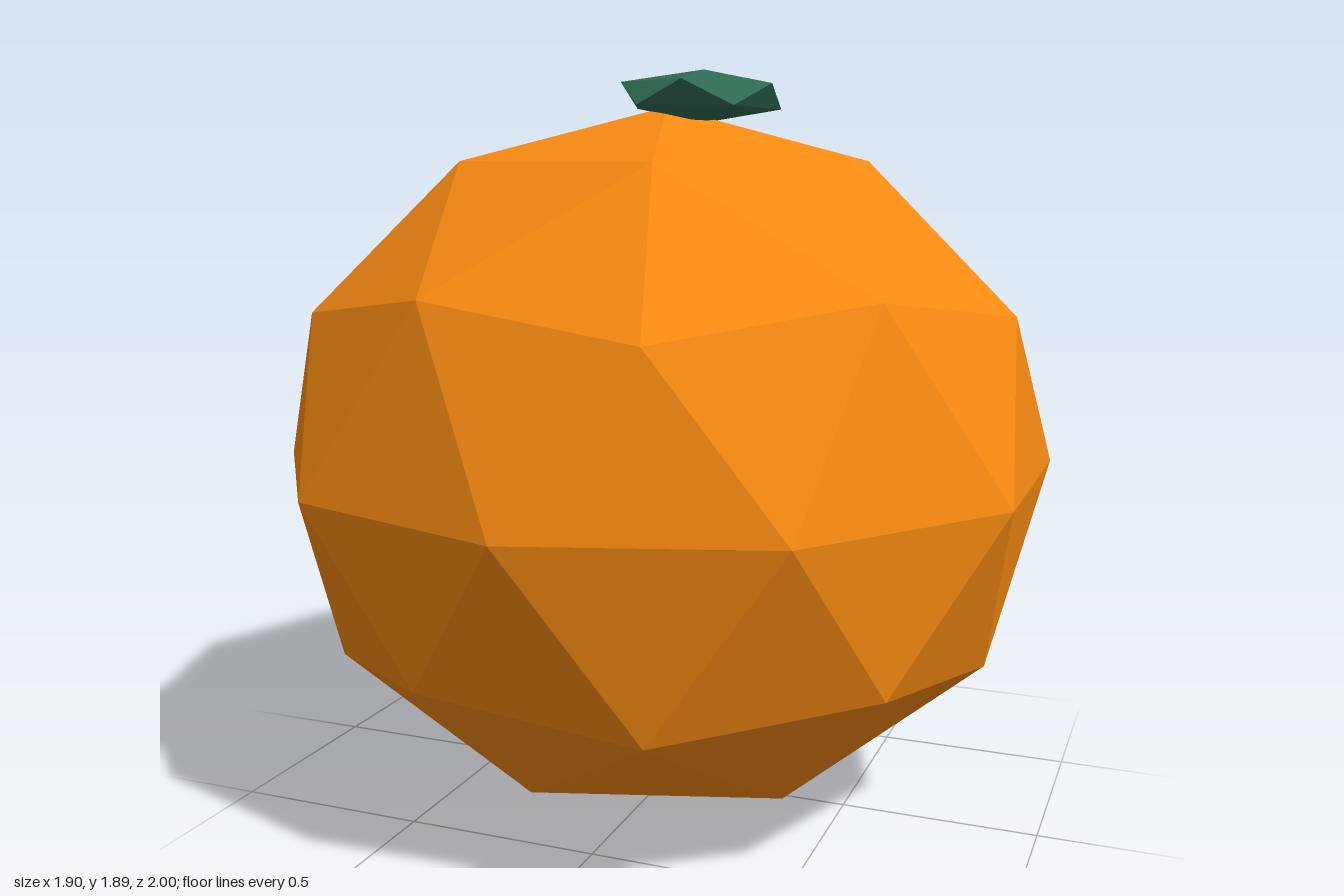
import * as THREE from 'three';

const flat = (color) => new THREE.MeshStandardMaterial({ color, flatShading: true });

// Faceted ball with one corner straight up, stretched to the given half sizes
function facetedBall(name, detail, [sx, sy, sz], [x, y, z], color) {
  const geometry = new THREE.IcosahedronGeometry(1, detail);
  geometry.rotateZ(-Math.atan(2 / (1 + Math.sqrt(5))));
  geometry.scale(sx, sy, sz);
  geometry.computeVertexNormals();
  const mesh = new THREE.Mesh(geometry, flat(color));
  mesh.name = name;
  mesh.position.set(x, y, z);
  return mesh;
}

export function createModel() {
  const model = new THREE.Group();
  model.name = 'orange';

  // Slightly squashed fruit
  model.add(facetedBall('fruit', 1, [1, 0.9, 1], [0, 0.9, 0], 0xf78a12));

  // Thin leaf lying off-centre on top
  model.add(facetedBall('leaf', 0, [0.2, 0.065, 0.36], [0.1, 1.825, 0], 0x2f6b52));

  // Short stem poking through the leaf
  const stem = new THREE.Mesh(new THREE.CylinderGeometry(0.036, 0.036, 0.1, 6), flat(0x6b4a3e));
  stem.name = 'stem';
  stem.position.y = 1.82;
  model.add(stem);

  return model;
}
